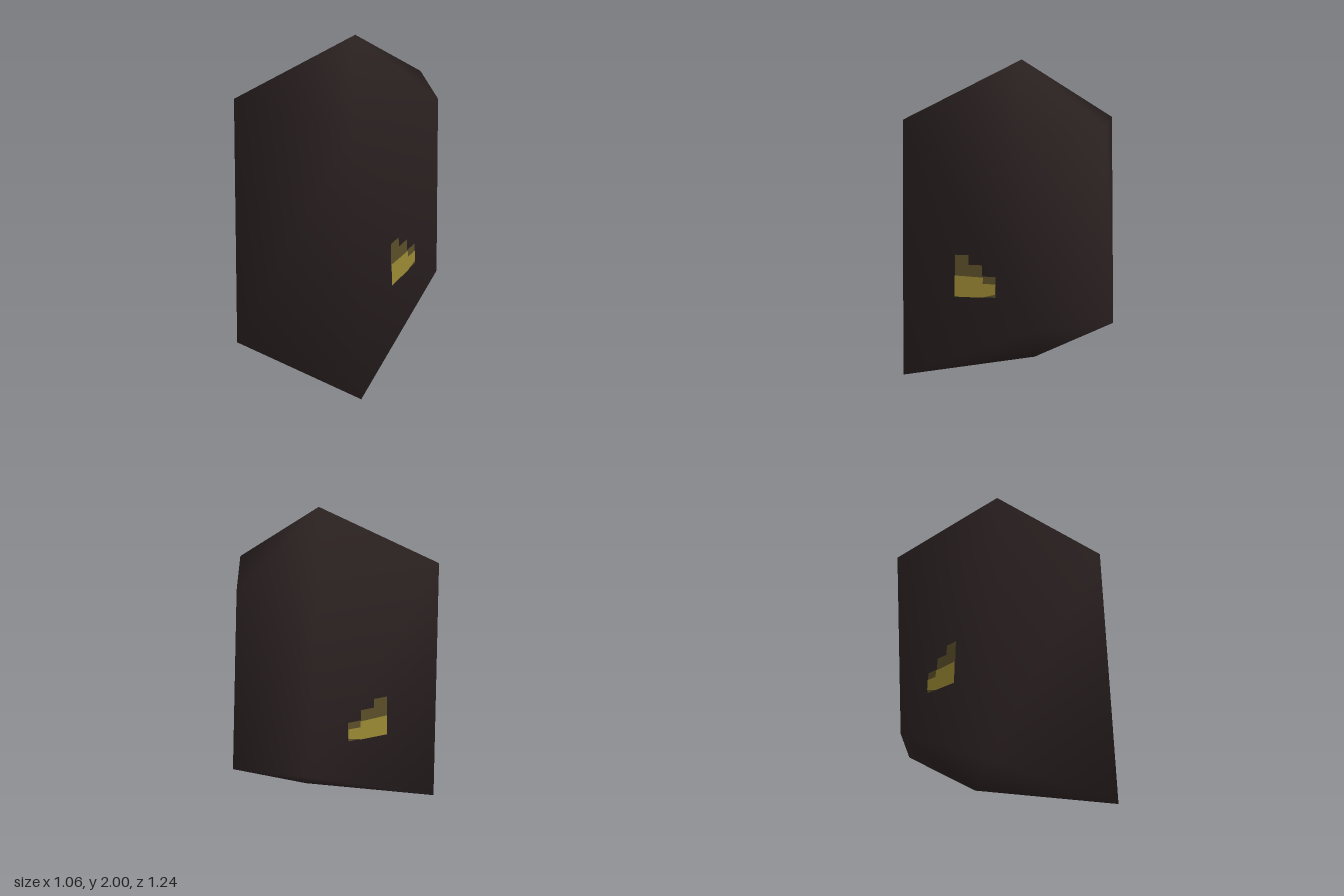
import * as THREE from 'three';

const material = (name, color, side = THREE.FrontSide) => {
  const m = new THREE.MeshStandardMaterial({ color, side });
  m.name = name;
  return m;
};

// Five-sided boulder: a peak, an upper ring, a lower ring and a keel point
const peak = [0, 2, 0.07];
const upper = [[0.468, 1.64, 0.62], [0.415, 1.63, -0.2], [0, 1.65, -0.55], [-0.42, 1.63, -0.31], [-0.468, 1.64, 0.62]];
const lower = [[0.53, 0, 0.62], [0.35, 0.45, -0.31], [0, 0.47, -0.62], [-0.35, 0.45, -0.31], [-0.53, 0, 0.62]];
const keel = [0, 0.11, -0.03];

function boulderGeometry() {
  const index = [];
  for (let i = 0; i < 5; i++) {
    const j = (i + 1) % 5;
    const u0 = 1 + i, u1 = 1 + j, l0 = 6 + i, l1 = 6 + j;
    index.push(0, u0, u1, 11, l1, l0);
    // The creases run down towards the back on both sides
    if (i < 2) index.push(u0, l0, l1, u0, l1, u1);
    else index.push(u0, l0, u1, u1, l0, l1);
  }
  const geometry = new THREE.BufferGeometry();
  const points = [peak, ...upper, ...lower, keel].flat();
  geometry.setAttribute('position', new THREE.Float32BufferAttribute(points, 3));
  geometry.setIndex(index);
  geometry.computeVertexNormals();
  return geometry;
}

// Plane of the lower side face that carries the patches, mirrored for the other side
const sidePlane = new THREE.Plane().setFromCoplanarPoints(
  ...[upper[0], lower[0], lower[1]].map(p => new THREE.Vector3(...p)));

// Distance of the side face from the middle at a given height and depth
const reach = (y, z) => -(sidePlane.constant + sidePlane.normal.y * y + sidePlane.normal.z * z) / sidePlane.normal.x;

// A thin piece hugging the side: [front z, back z, bottom front, bottom back, top front, top back]
function patchGeometry([z0, z1, b0, b1, t0, t1], side, lift) {
  const { lerp } = THREE.MathUtils;
  const geometry = new THREE.PlaneGeometry(1, 1);
  const pos = geometry.attributes.position;
  for (let i = 0; i < pos.count; i++) {
    const u = 0.5 + side * pos.getX(i), v = pos.getY(i) + 0.5;
    const z = lerp(z0, z1, u);
    const y = lerp(lerp(b0, b1, u), lerp(t0, t1, u), v);
    pos.setXYZ(i, side * (reach(y, z) + lift), y, z);
  }
  geometry.computeVertexNormals();
  return geometry;
}

const dimPieces = [
  [0.25, 0.157, 0.71, 0.715, 0.845, 0.855],
  [0.157, 0.062, 0.715, 0.725, 0.795, 0.805],
  [0.062, -0.03, 0.605, 0.615, 0.735, 0.745],
];
const brightPieces = [
  [0.25, 0.055, 0.58, 0.603, 0.715, 0.73],
  [0.055, -0.03, 0.605, 0.635, 0.69, 0.7],
];

export function createModel() {
  const stone = material('dark stone', 0x2b2121);
  const bright = material('bright ochre', 0x9a8833, THREE.DoubleSide);
  const dim = material('dim ochre', 0x5a4e29, THREE.DoubleSide);

  const model = new THREE.Group();
  model.name = 'boulder';
  const body = new THREE.Mesh(boulderGeometry(), stone);
  body.name = 'stoneBody';
  model.add(body);

  // Matching stepped patches on both sides
  for (const side of [1, -1]) {
    const patch = new THREE.Group();
    patch.name = side > 0 ? 'leftPatch' : 'rightPatch';
    for (const [pieces, mat, lift, name] of [[dimPieces, dim, 0.003, 'dimPiece'], [brightPieces, bright, 0.006, 'brightPiece']]) {
      for (const piece of pieces) {
        const mesh = new THREE.Mesh(patchGeometry(piece, side, lift), mat);
        mesh.name = name;
        patch.add(mesh);
      }
    }
    model.add(patch);
  }
  return model;
}
